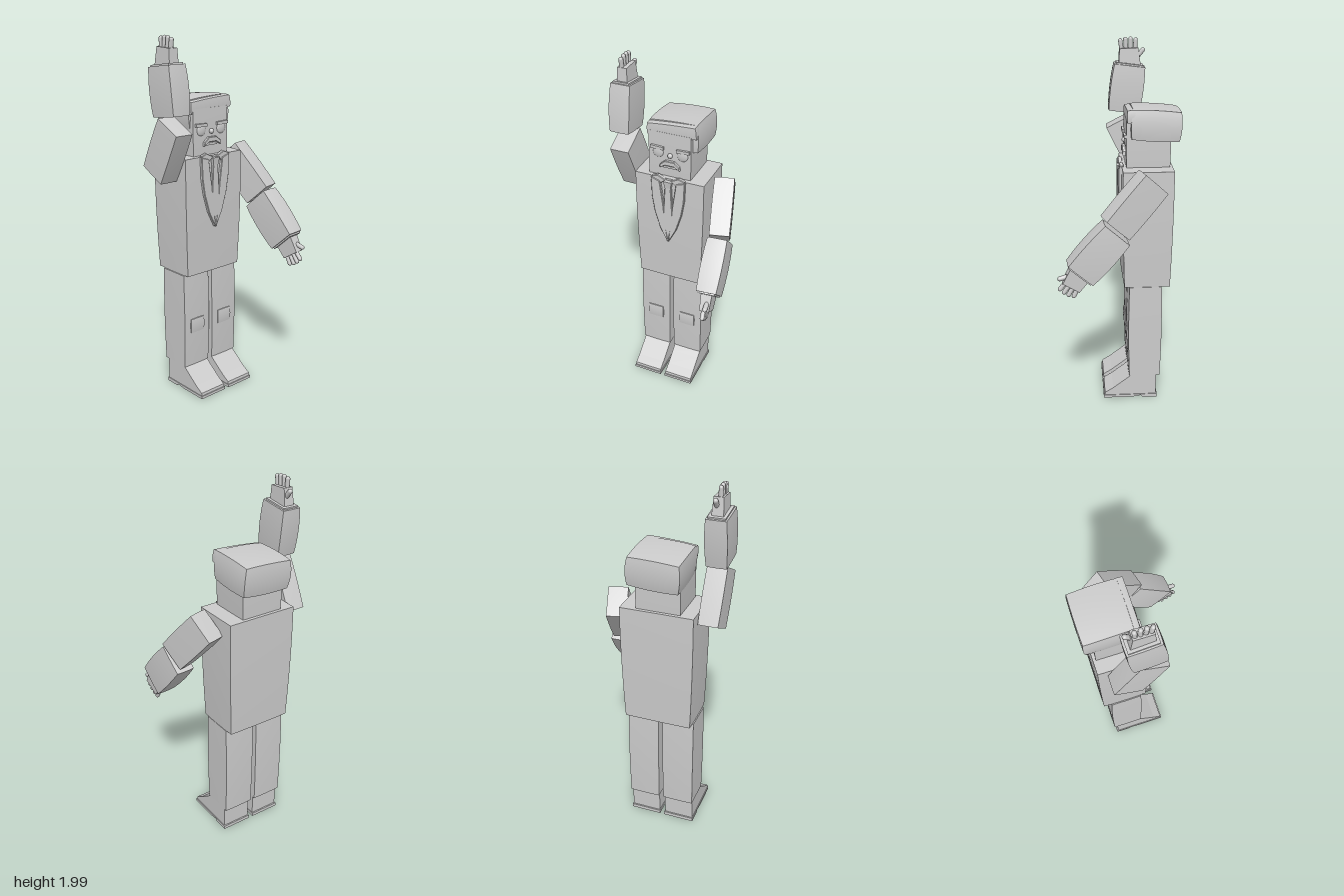
import * as THREE from 'three';

const grey = new THREE.MeshStandardMaterial({ color: 0xcccccc });
const MID = -0.037; // x of the body's centre line

function add(parent, name, geometry, x = 0, y = 0, z = 0) {
  const m = new THREE.Mesh(geometry, grey);
  m.name = name;
  m.position.set(x, y, z);
  parent.add(m);
  return m;
}

// Box with gently bowed faces and crisp edges; top / bottom scale the two ends
function bowBox(w, h, d, [bx, by, bz] = [0.04, 0.01, 0.04], top = 1, bottom = 1) {
  const g = new THREE.BoxGeometry(w, h, d, 8, 8, 8);
  const p = g.attributes.position;
  for (let i = 0; i < p.count; i++) {
    const x = p.getX(i), y = p.getY(i), z = p.getZ(i);
    const fx = 1 - (2 * x / w) ** 2, fy = 1 - (2 * y / h) ** 2, fz = 1 - (2 * z / d) ** 2;
    const s = THREE.MathUtils.lerp(bottom, top, y / h + 0.5);
    p.setXYZ(i,
      x * s * (1 + bx * (0.75 * fy + 0.25 * fz)),
      y * (1 + by * (fx + fz) / 2),
      z * s * (1 + bz * (0.75 * fy + 0.25 * fx)));
  }
  g.computeVertexNormals();
  return g;
}

// Flat plate from an outline, with a small bevel
function plate(points, depth, bevel = 0.003) {
  const shape = new THREE.Shape(points.map(([x, y]) => new THREE.Vector2(x, y)));
  return new THREE.ExtrudeGeometry(shape, {
    depth, bevelEnabled: bevel > 0, bevelSize: bevel, bevelThickness: bevel, bevelSegments: 1,
  });
}

// Group at the start of a limb, with y running along it
function limb(parent, name, start, end, yaw) {
  const g = new THREE.Group();
  g.name = name;
  const a = new THREE.Vector3(...start), b = new THREE.Vector3(...end);
  const y = b.clone().sub(a), length = y.length();
  y.normalize();
  const x = new THREE.Vector3(Math.cos(yaw), 0, -Math.sin(yaw));
  x.addScaledVector(y, -x.dot(y)).normalize();
  g.quaternion.setFromRotationMatrix(new THREE.Matrix4().makeBasis(x, y, x.clone().cross(y)));
  g.position.copy(a);
  parent.add(g);
  return { g, length };
}

function hand(parent, wristY) {
  const g = new THREE.Group();
  g.name = 'hand';
  g.position.y = wristY;
  g.rotation.x = 0.17;
  parent.add(g);
  add(g, 'palm', bowBox(0.06, 0.09, 0.12, [0, 0, 0], 0.85, 1), 0, 0.045, 0);
  for (let i = 0; i < 4; i++) {
    const f = add(g, 'finger', new THREE.CapsuleGeometry(0.012, 0.055, 4, 10), -0.006, 0.112 - 0.006 * Math.abs(i - 1.5), -0.037 + i * 0.026);
    f.rotation.x = (i - 1.5) * 0.07;
  }
  const thumb = add(g, 'thumb', new THREE.CapsuleGeometry(0.013, 0.045, 4, 10), 0.008, 0.06, -0.06);
  thumb.rotation.x = -0.75;
}

function arm(parent, name, upper, fore) {
  const arm = new THREE.Group();
  arm.name = name;
  parent.add(arm);
  const u = limb(arm, 'upperArmJoint', ...upper);
  add(u.g, 'upperArm', bowBox(0.105, u.length, 0.165, [0.04, 0.01, 0.04]), 0, u.length / 2, 0);
  const f = limb(arm, 'forearmJoint', ...fore);
  add(f.g, 'forearm', bowBox(0.106, f.length, 0.168, [0.12, 0.01, 0.1]), 0, f.length / 2, 0);
  add(f.g, 'cuff', new THREE.BoxGeometry(0.09, 0.012, 0.15), 0, f.length + 0.003, 0);
  hand(f.g, f.length);
}

export function createModel() {
  const model = new THREE.Group();
  model.name = 'figure';

  // Torso
  add(model, 'torso', bowBox(0.39, 0.655, 0.265, [0.03, 0.006, 0.03], 1.01, 0.94), MID + 0.002, 1.03, -0.158);

  // Jacket front: collar, lapels, shirt tie
  for (const s of [-1, 1]) {
    const mirror = (pts) => {
      const out = pts.map(([x, y]) => [s * x, y]);
      return s < 0 ? out.reverse() : out;
    };
    add(model, 'lapel', plate(mirror([[0.05, 1.34], [0.095, 1.355], [0.09, 1.24], [0.075, 1.15], [0.045, 1.05], [0.004, 0.965], [0.02, 1.1], [0.03, 1.2]]), 0.014), MID, 0, -0.024);
    add(model, 'collar', plate(mirror([[0.018, 1.352], [0.06, 1.372], [0.09, 1.362], [0.075, 1.305], [0.05, 1.325]]), 0.016), MID, 0, -0.03);
  }
  add(model, 'tieKnot', bowBox(0.045, 0.045, 0.035, [0, 0, 0], 1.05, 0.7), MID, 1.325, -0.02);
  add(model, 'tie', plate([[-0.014, 1.31], [-0.026, 1.1], [0, 0.98], [0.026, 1.1], [0.014, 1.31]], 0.012), MID, 0, -0.022);

  // Head and hair
  const head = new THREE.Group();
  head.name = 'head';
  model.add(head);
  add(head, 'face', bowBox(0.236, 0.25, 0.23, [0.02, 0, 0.02]), -0.041, 1.485, -0.162);
  const hair = add(head, 'hair', bowBox(0.268, 0.15, 0.25, [0.08, 0.14, 0.08], 0.99, 0.99), -0.032, 1.578, -0.2);
  hair.rotation.set(-0.06, 0, 0.05);
  const fringe = add(head, 'fringe', bowBox(0.272, 0.062, 0.05, [0.03, 0.2, 0.08], 0.98, 1), -0.034, 1.624, -0.074);
  fringe.rotation.z = 0.07;

  // Facial features
  for (const s of [-1, 1]) {
    const brow = add(head, 'eyebrow', new THREE.BoxGeometry(0.074, 0.017, 0.024), MID + s * 0.073, 1.523, -0.045);
    brow.rotation.z = s * 0.04;
    const eye = add(head, 'eye', new THREE.SphereGeometry(0.03, 20, 12), MID + s * 0.069, 1.495, -0.046);
    eye.scale.z = 0.3;
  }
  add(head, 'nose', new THREE.SphereGeometry(0.014, 16, 10), MID, 1.485, -0.042);
  add(head, 'moustache', plate([[-0.055, 1.413], [-0.052, 1.43], [-0.025, 1.453], [0.025, 1.453], [0.052, 1.43], [0.055, 1.413], [0.025, 1.432], [-0.025, 1.432]], 0.014), MID, 0, -0.046);
  add(head, 'mouth', new THREE.BoxGeometry(0.075, 0.012, 0.01), MID, 1.417, -0.044);

  // Raised right arm and forward-reaching left arm
  arm(model, 'rightArm',
    [[-0.29, 1.27, -0.168], [-0.29, 1.538, -0.032], 0],
    [[-0.293, 1.588, -0.055], [-0.293, 1.84, -0.087], 0]);
  arm(model, 'leftArm',
    [[0.224, 1.326, -0.175], [0.278, 1.1, 0.025], 0.28],
    [[0.28, 1.077, 0.02], [0.298, 0.865, 0.21], 0.08]);

  // Legs with knee patches and shoes
  const upperShoe = [[-0.215, 0.018], [0.078, 0.018], [0.076, 0.036], [0.03, 0.065], [-0.035, 0.115], [-0.07, 0.143], [-0.218, 0.143]];
  const sole = [[-0.223, 0], [-0.14, 0], [-0.13, 0.012], [-0.08, 0.004], [0.083, 0.004], [0.083, 0.02], [-0.223, 0.02]];
  const alongX = (pts, w) => plate(pts, w, 0).rotateY(-Math.PI / 2).translate(w / 2, 0, 0);
  for (const s of [-1, 1]) {
    const leg = new THREE.Group();
    leg.name = s < 0 ? 'rightLeg' : 'leftLeg';
    leg.position.x = MID + s * 0.1;
    model.add(leg);
    add(leg, 'trouserLeg', bowBox(0.176, 0.555, 0.176, [0.02, 0.004, 0.08], 1, 0.98), 0, 0.423, -0.15);
    add(leg, 'kneePatch', bowBox(0.09, 0.08, 0.02, [0.07, 0.06, 0.4]), 0, 0.39, -0.062);
    add(leg, 'shoe', alongX(upperShoe, 0.166));
    add(leg, 'sole', alongX(sole, 0.174));
  }
  return model;
}
